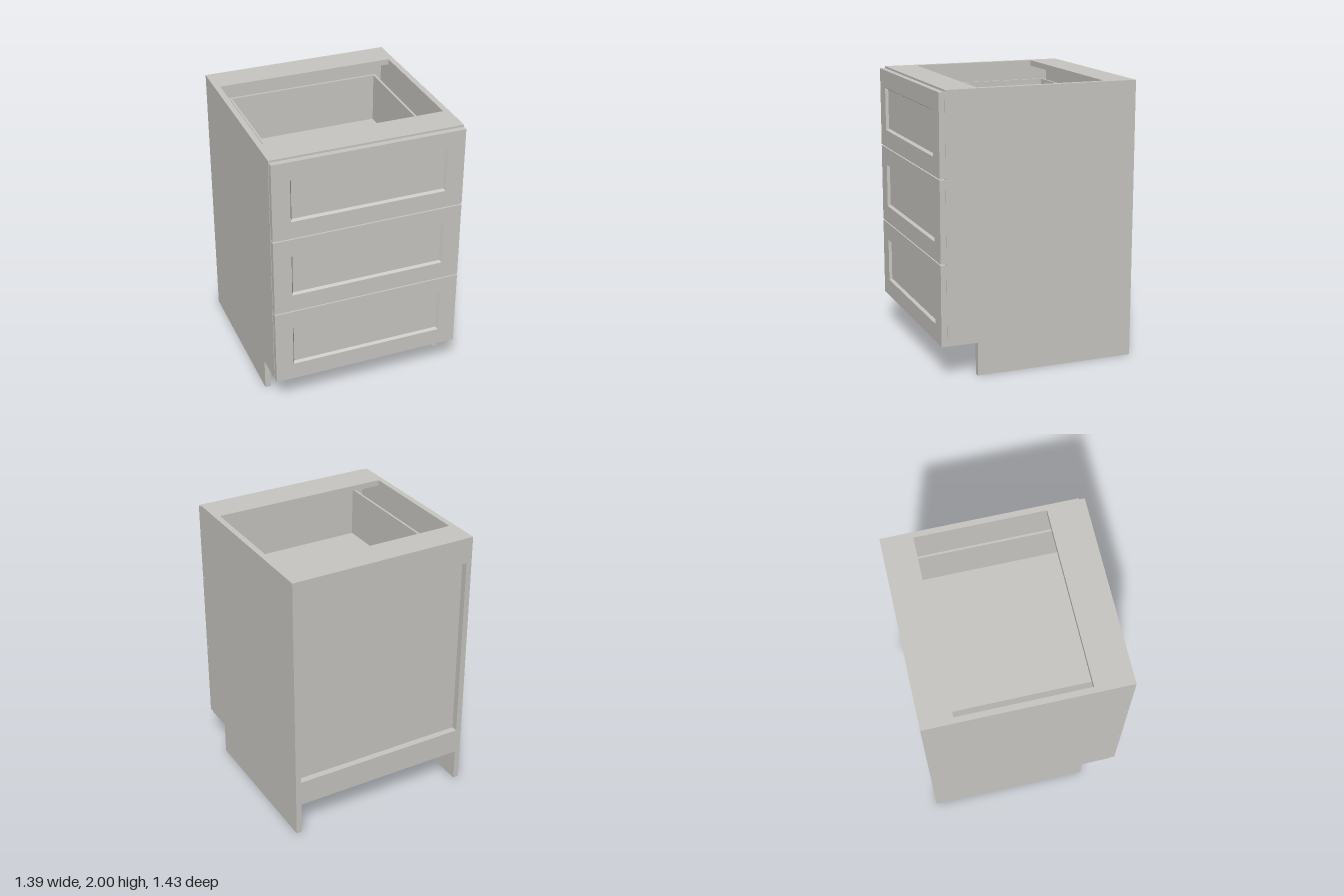
import * as THREE from 'three';

export function createModel() {
  const model = new THREE.Group();
  model.name = 'drawerCabinet';
  const grey = new THREE.MeshStandardMaterial({ color: 0xc8c6c2 });
  grey.name = 'warm grey';

  const add = (parent, name, geometry) => {
    const mesh = new THREE.Mesh(geometry, grey);
    mesh.name = name;
    parent.add(mesh);
    return mesh;
  };
  // Box given by its minimum and maximum on each axis
  const box = (parent, name, [x0, x1], [y0, y1], [z0, z1]) =>
    add(parent, name, new THREE.BoxGeometry(x1 - x0, y1 - y0, z1 - z0))
      .position.set((x0 + x1) / 2, (y0 + y1) / 2, (z0 + z1) / 2);

  const OUT = 0.694, IN = 0.652, BACK = -0.716, FACE = 0.675, FRONT = 0.716;
  const width = [-IN, IN];

  // Side panels with a toe notch at the lower front
  const outline = new THREE.Shape([
    [BACK, 0], [0.455, 0], [0.455, 0.24], [FACE, 0.24], [FACE, 2], [BACK, 2],
  ].map(([z, y]) => new THREE.Vector2(-z, y)));
  const sideGeometry = new THREE.ExtrudeGeometry(outline, { depth: OUT - IN, bevelEnabled: false });
  sideGeometry.rotateY(Math.PI / 2);
  add(model, 'leftSide', sideGeometry).position.x = IN;
  add(model, 'rightSide', sideGeometry).position.x = -OUT;

  // Floor, top stretchers, back rails and recessed back panel
  box(model, 'floor', width, [0.24, 0.282], [BACK, FACE]);
  box(model, 'frontStretcher', width, [1.958, 2], [0.44, FACE]);
  box(model, 'backStretcher', width, [1.958, 2], [BACK, -0.49]);
  box(model, 'upperBackRail', width, [1.81, 1.958], [BACK, -0.668]);
  box(model, 'lowerBackRail', width, [0.282, 0.43], [BACK, -0.668]);
  box(model, 'backPanel', width, [0.282, 1.958], [-0.668, -0.625]);

  // Rectangle corners, counter-clockwise from the lower left
  const corners = (w, y0, y1) => [[-w, y0], [w, y0], [w, y1], [-w, y1]]
    .map(([x, y]) => new THREE.Vector2(x, y));

  // Drawer front: frame around an opening, sloped moulding, recessed panel
  const HEIGHT = 0.576, PANEL = 0.696;
  const opening = corners(0.562, 0.128, 0.446);
  const inner = corners(0.55, 0.14, 0.434);
  const frame = new THREE.Shape(corners(0.691, 0, HEIGHT));
  frame.holes.push(new THREE.Path(opening));
  const frameGeometry = new THREE.ExtrudeGeometry(frame, { depth: FRONT - FACE, bevelEnabled: false });
  frameGeometry.translate(0, 0, FACE);

  const slope = [];
  for (let i = 0; i < 4; i++) {
    const j = (i + 1) % 4;
    const at = (p, z) => new THREE.Vector3(p.x, p.y, z);
    const [a, b] = [at(opening[i], FRONT), at(opening[j], FRONT)];
    const [c, d] = [at(inner[j], PANEL), at(inner[i], PANEL)];
    slope.push(a, b, c, a, c, d);
  }
  const mouldingGeometry = new THREE.BufferGeometry().setFromPoints(slope);
  mouldingGeometry.computeVertexNormals();

  // Three equal drawers, each with an open box behind its front
  for (let i = 0; i < 3; i++) {
    const drawer = new THREE.Group();
    drawer.name = ['lowerDrawer', 'middleDrawer', 'upperDrawer'][i];
    drawer.position.y = 0.24 + i * 0.585;
    model.add(drawer);

    add(drawer, 'frontFrame', frameGeometry);
    add(drawer, 'frontMoulding', mouldingGeometry);
    box(drawer, 'frontPanel', [-0.562, 0.562], [0.128, 0.446], [FACE, PANEL]);

    const tall = [0.06, 0.455];
    for (const [name, x0] of [['boxLeft', 0.555], ['boxRight', -0.571]])
      box(drawer, name, [x0, x0 + 0.016], tall, [-0.556, FACE]);
    box(drawer, 'boxBack', [-0.555, 0.555], tall, [-0.556, -0.54]);
    box(drawer, 'boxFront', [-0.555, 0.555], tall, [0.659, FACE]);
    box(drawer, 'boxBottom', [-0.555, 0.555], [0.075, 0.091], [-0.54, 0.659]);
  }
  return model;
}
